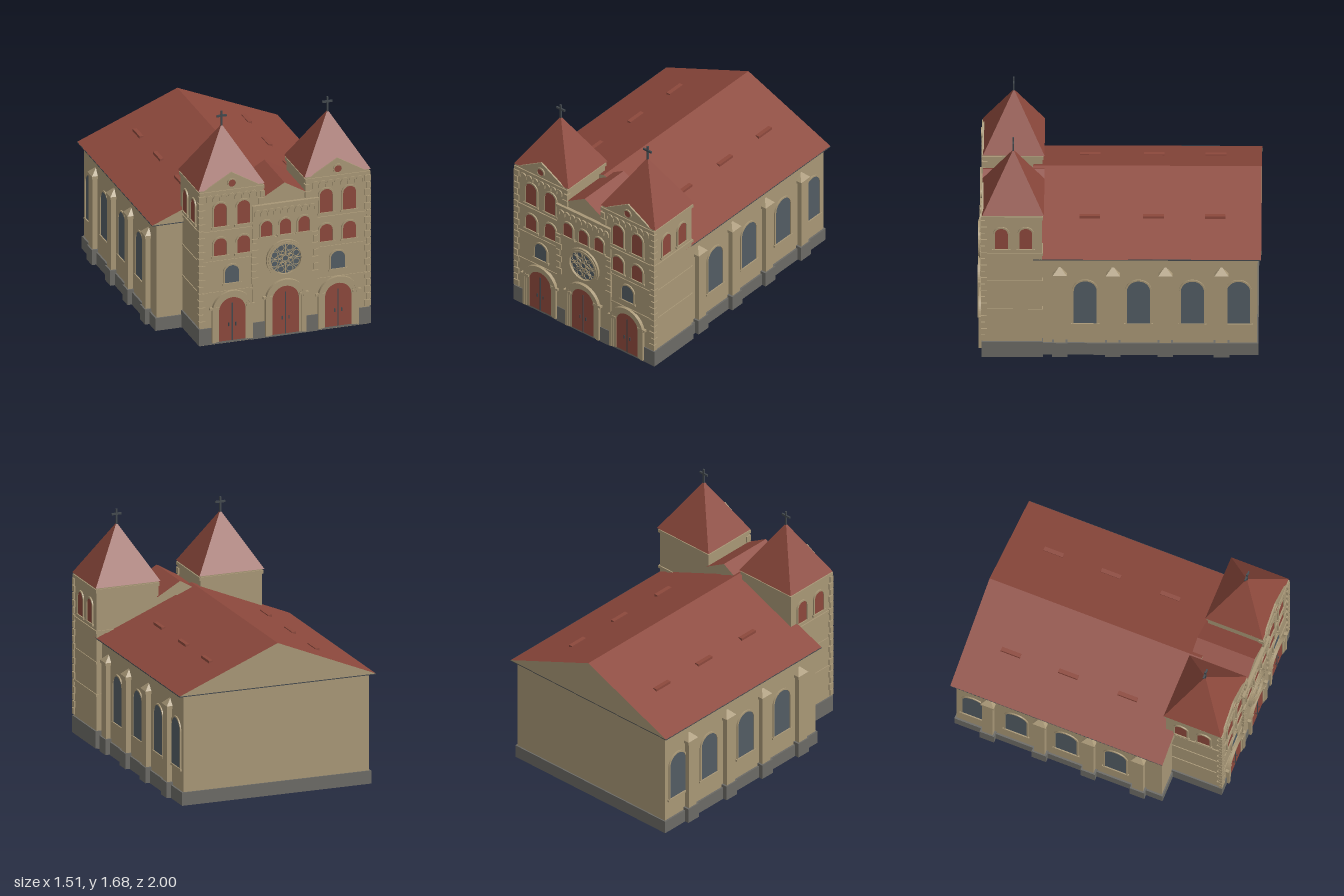
import * as THREE from 'three';

const mat = (name, color) => {
  const m = new THREE.MeshStandardMaterial({ color });
  m.name = name;
  return m;
};

export function createModel() {
  const stone = mat('stone', 0xa89776), red = mat('red tile', 0x8c483c), grey = mat('plinth grey', 0x6b6a65);
  const slate = mat('slate glass', 0x525c63), iron = mat('dark iron', 0x42484d);
  const root = new THREE.Group();
  root.name = 'church';

  const group = (parent, name, x = 0, y = 0, z = 0) => {
    const g = new THREE.Group();
    g.name = name;
    g.position.set(x, y, z);
    parent.add(g);
    return g;
  };
  const add = (parent, name, geo, m, x = 0, y = 0, z = 0) => {
    const mesh = new THREE.Mesh(geo, m);
    mesh.name = name;
    mesh.position.set(x, y, z);
    parent.add(mesh);
    return mesh;
  };
  // Box given by its limits on each axis
  const box = (parent, name, m, x0, x1, y0, y1, z0, z1) =>
    add(parent, name, new THREE.BoxGeometry(x1 - x0, y1 - y0, z1 - z0), m, (x0 + x1) / 2, (y0 + y1) / 2, (z0 + z1) / 2);
  const extrude = (shape, depth) => new THREE.ExtrudeGeometry(shape, { depth, bevelEnabled: false, curveSegments: 14 });
  // Round-topped panel
  const arch = (r, y0, spring) => {
    const s = new THREE.Shape();
    s.moveTo(-r, y0);
    s.lineTo(r, y0);
    s.lineTo(r, spring);
    s.absarc(0, spring, r, 0, Math.PI, false);
    return s;
  };
  // Round-topped band, open at the foot
  const band = (ro, ri, y0, spring) => {
    const s = new THREE.Shape();
    s.moveTo(-ro, y0);
    s.lineTo(-ro, spring);
    s.absarc(0, spring, ro, Math.PI, 0, true);
    s.lineTo(ro, y0);
    s.lineTo(ri, y0);
    s.lineTo(ri, spring);
    s.absarc(0, spring, ri, 0, Math.PI, false);
    s.lineTo(-ri, y0);
    return s;
  };
  const ring = (ro, ri) => {
    const s = new THREE.Shape().absarc(0, 0, ro, 0, Math.PI * 2, false);
    s.holes.push(new THREE.Path().absarc(0, 0, ri, 0, Math.PI * 2, true));
    return s;
  };
  const triangle = (hw, y0, y1) => new THREE.Shape([[-hw, y0], [hw, y0], [0, y1]].map(p => new THREE.Vector2(...p)));

  // Arched window facing +z with frame and sill
  const archWindow = (parent, x, z, w, y0, top, glass, ry = 0) => {
    const g = group(parent, 'archedWindow', x, 0, z);
    g.rotation.y = ry;
    const r = w / 2, spring = top - r;
    add(g, 'pane', extrude(arch(r - 0.008, y0, spring), 0.005), glass);
    add(g, 'frame', extrude(band(r, r - 0.012, y0, spring), 0.011), stone);
    box(g, 'sill', stone, -r - 0.008, r + 0.008, y0 - 0.012, y0 + 0.003, 0, 0.014);
  };
  // Row of small blind arches
  const arcade = (parent, x, z, halfWidth, count, top) => {
    const step = 2 * halfWidth / count, r = step / 2;
    for (let i = 0; i < count; i++) {
      const cx = x - halfWidth + (i + 0.5) * step;
      add(parent, 'friezeArch', extrude(band(r, r - 0.009, top - r - 0.022, top - r), 0.011), stone, cx, 0, z);
    }
  };
  // Stack of alternating corner stones; s is the side the stones face
  const quoins = (parent, x, s, y0, y1, zFront) => {
    for (let y = y0, i = 0; y + 0.04 < y1; y += 0.053, i++) {
      const w = i % 2 ? 0.034 : 0.048, inner = x - s * w;
      box(parent, 'quoin', stone, Math.min(x, inner), Math.max(x, inner), y, y + 0.046, zFront - (i % 2 ? 0.042 : 0.03), zFront);
    }
  };
  // Portal: double door inside stepped arches
  const portal = (parent, x, z, spring, step) => {
    const g = group(parent, 'portal', x, 0, z);
    add(g, 'door', extrude(arch(0.101, 0.02, spring), 0.009), red);
    [0.118, 0.135, 0.152].forEach((r, i) =>
      add(g, 'portalArch', extrude(band(r, r - 0.019, 0.02, spring), 0.025 - (2 - i) * step), stone));
    for (const s of [-1, 1]) {
      box(g, 'capital', stone, s * 0.135 - 0.034, s * 0.135 + 0.034, spring + 0.02, spring + 0.038, 0, 0.024);
      box(g, 'handle', iron, s * 0.026 - 0.004, s * 0.026 + 0.004, 0.13, 0.157, 0.008, 0.014);
    }
    box(g, 'doorSeam', iron, -0.004, 0.004, 0.02, spring + 0.055, 0.008, 0.012);
  };

  // Nave
  const nave = group(root, 'nave', -0.005);
  box(nave, 'naveWalls', stone, -0.707, 0.707, 0.01, 0.808, -0.97, 0.59);
  box(nave, 'navePlinth', grey, -0.72, 0.72, 0, 0.096, -0.98, 0.6);
  add(nave, 'naveRoof', extrude(triangle(0.748, 0.812, 1.122), 1.61), [stone, red], 0, 0, -1);
  box(nave, 'eavesSoffit', iron, -0.747, 0.747, 0.805, 0.813, -0.999, 0.609);
  for (const s of [-1, 1]) {
    for (const z of [0.42, 0.045, -0.325, -0.72]) {
      const b = group(nave, 'buttress', s * 0.7, 0, z);
      b.rotation.y = s * Math.PI / 2;
      box(b, 'buttressShaft', stone, -0.041, 0.041, 0.1, 0.66, 0, 0.044);
      box(b, 'buttressFoot', grey, -0.055, 0.055, 0.003, 0.117, 0, 0.054);
      box(b, 'buttressCap', stone, -0.05, 0.05, 0.655, 0.676, 0, 0.051);
      // Half pyramid leaning on the wall
      const cap = new THREE.ConeGeometry(Math.SQRT1_2, 0.054, 4).rotateY(Math.PI / 4).scale(0.1, 1, 0.102).toNonIndexed();
      cap.computeVertexNormals();
      add(b, 'buttressPeak', cap, stone, 0, 0.703, 0);
    }
    for (const z of [0.24, -0.135, -0.515, -0.84])
      archWindow(nave, s * 0.705, z, 0.186, 0.254, 0.622, slate, s * Math.PI / 2);
    for (const z of [0.21, -0.24, -0.675])
      box(nave, 'roofVent', red, s * 0.405 - 0.015, s * 0.405 + 0.015, 0.94, 0.967, z - 0.073, z + 0.073);
  }

  // West front, centred between the towers
  const front = group(root, 'westFront', 0.112);
  box(front, 'frontPlinth', grey, -0.641, 0.641, 0.004, 0.13, 0.538, 0.972);
  box(front, 'middlePlinth', grey, -0.247, 0.247, 0.004, 0.13, 0.94, 0.979);

  for (const s of [-1, 1]) {
    const t = group(front, 'tower', s * 0.395);
    box(t, 'towerBody', stone, -0.235, 0.235, 0, 1.182, 0.545, 0.965);
    for (const [y0, y1, o] of [[0.383, 0.4, 0.006], [0.62, 0.637, 0.006], [0.845, 0.866, 0.008], [1.145, 1.17, 0.008]])
      box(t, 'stringCourse', stone, -0.235 - o, 0.235 + o, y0, y1, 0.545 - o, 0.965 + o);

    // Pyramid roof with cross
    const cone = new THREE.ConeGeometry(Math.SQRT1_2, 0.4, 4).rotateY(Math.PI / 4).scale(0.494, 1, 0.436).toNonIndexed();
    cone.computeVertexNormals();
    add(t, 'towerRoof', cone, red, 0, 1.382, 0.748);
    const cross = group(t, 'cross', 0, 0, 0.748);
    box(cross, 'crossPost', iron, -0.006, 0.006, 1.56, 1.682, -0.006, 0.006);
    box(cross, 'crossArm', iron, -0.037, 0.037, 1.638, 1.652, -0.006, 0.006);

    // Gable with round light
    add(t, 'towerGable', extrude(triangle(0.213, 1.175, 1.3), 0.012), stone, 0, 0, 0.957);
    add(t, 'roundLight', extrude(new THREE.Shape().absarc(0, 0, 0.03, 0, Math.PI * 2), 0.005), red, 0, 1.22, 0.969);
    add(t, 'roundLightFrame', extrude(ring(0.037, 0.027), 0.01), stone, 0, 1.22, 0.968);

    // Openings
    for (const k of [-1, 1]) {
      archWindow(t, k * 0.087, 0.964, 0.12, 0.895, 1.088, red);
      archWindow(t, k * 0.087, 0.964, 0.12, 0.673, 0.82, red);
      archWindow(t, s * 0.234, 0.745 + k * 0.086, 0.115, 0.898, 1.085, red, s * Math.PI / 2);
    }
    archWindow(t, 0, 0.964, 0.13, 0.455, 0.603, slate);
    portal(t, 0, 0.966, 0.25, 0.005);
    arcade(t, 0, 0.964, 0.192, 7, 1.142);
    quoins(t, s * 0.246, s, 0.14, 1.15, 0.975);
    quoins(t, -s * 0.244, -s, 1.03, 1.15, 0.975);
    quoins(front, s * 0.248, s, 0.425, 0.74, 0.983);
  }

  // Middle bay
  const bay = group(front, 'middleBay');
  box(bay, 'bayCore', stone, -0.17, 0.17, 0.003, 1.07, 0.545, 0.96);
  box(bay, 'bayFace', stone, -0.243, 0.243, 0.003, 1.005, 0.95, 0.974);
  for (const [y0, y1, z] of [[0.745, 0.768, 0.985], [1, 1.022, 0.985]])
    box(bay, 'bayCornice', stone, -0.248, 0.248, y0, y1, 0.95, z);
  add(bay, 'bayRoof', extrude(triangle(0.172, 1.066, 1.166), 0.435), [stone, red], 0, 0, 0.53);
  arcade(bay, 0, 0.973, 0.228, 9, 0.985);
  for (const x of [-0.14, 0, 0.14]) archWindow(bay, x, 0.973, 0.108, 0.776, 0.908, red);
  portal(bay, 0, 0.975, 0.285, 0.006);

  // Rose window with tracery
  const rose = group(bay, 'roseWindow', 0, 0.593, 0.973);
  add(rose, 'roseGlass', extrude(new THREE.Shape().absarc(0, 0, 0.125, 0, Math.PI * 2), 0.006), slate);
  add(rose, 'roseOuterRing', extrude(ring(0.143, 0.128), 0.018), stone);
  add(rose, 'roseInnerRing', extrude(ring(0.13, 0.114), 0.024), stone);
  add(rose, 'roseHub', extrude(ring(0.027, 0.02), 0.011), stone);
  for (let i = 0; i < 8; i++) {
    const a = i * Math.PI / 4, b = a + Math.PI / 8;
    const spoke = add(rose, 'roseSpoke', new THREE.BoxGeometry(0.092, 0.005, 0.01), stone, Math.cos(a) * 0.07, Math.sin(a) * 0.07, 0.006);
    spoke.rotation.z = a;
    add(rose, 'roseFoil', extrude(ring(0.026, 0.021), 0.01), stone, Math.cos(b) * 0.087, Math.sin(b) * 0.087, 0);
    add(rose, 'roseSmallFoil', extrude(ring(0.014, 0.01), 0.01), stone, Math.cos(b) * 0.046, Math.sin(b) * 0.046, 0);
  }
  return root;
}
